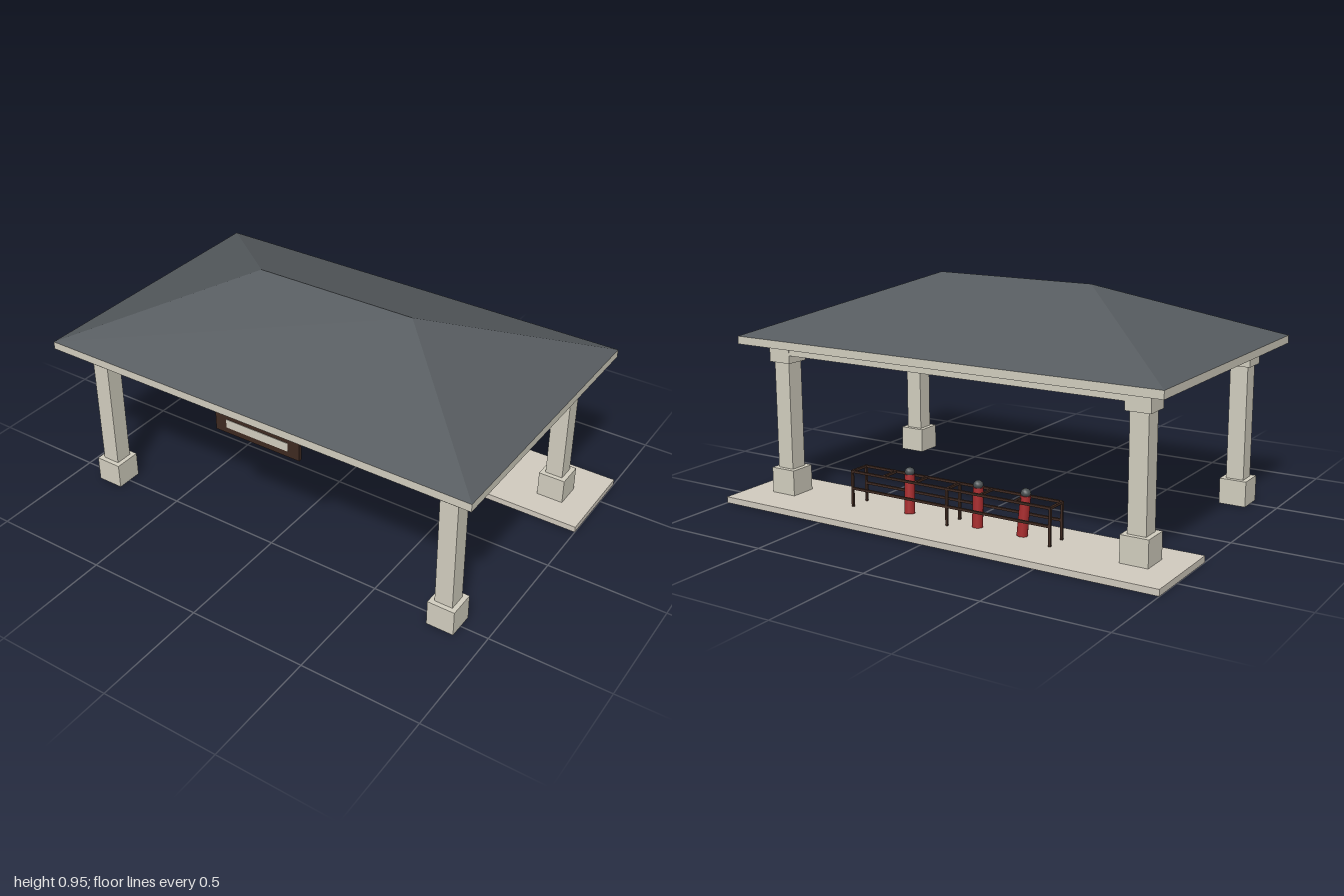
import * as THREE from 'three';

const mat = (name, color, side = THREE.FrontSide) => {
  const m = new THREE.MeshStandardMaterial({ color, side });
  m.name = name;
  return m;
};

export function createModel() {
  const model = new THREE.Group();
  model.name = 'pavilion';
  const stone = mat('stone', 0xd3cfc0);
  const hollowStone = mat('hollow stone', 0xd3cfc0, THREE.DoubleSide);
  const concrete = mat('concrete', 0xd2cbbf, THREE.DoubleSide);
  const slate = mat('slate', 0x565b5f);
  const brown = mat('dark brown', 0x3f2a21);
  const red = mat('red', 0xa82c2e);
  const grey = mat('dark grey', 0x484e50);

  const add = (parent, name, geometry, material, x = 0, y = 0, z = 0) => {
    const mesh = new THREE.Mesh(geometry, material);
    mesh.name = name;
    mesh.position.set(x, y, z);
    parent.add(mesh);
    return mesh;
  };
  // Box given by its lower and upper corners
  const block = (parent, name, material, [x0, y0, z0], [x1, y1, z1]) =>
    add(parent, name, new THREE.BoxGeometry(x1 - x0, y1 - y0, z1 - z0), material,
      (x0 + x1) / 2, (y0 + y1) / 2, (z0 + z1) / 2);
  // The same box without its underside
  const openBlock = (parent, name, material, low, high) => {
    const { geometry } = block(parent, name, material, low, high);
    const index = Array.from(geometry.index.array);
    index.splice(18, 6);
    geometry.setIndex(index);
    geometry.clearGroups();
  };

  // Platform under the rear columns
  const deck = 0.026;
  openBlock(model, 'platform', concrete, [-1, 0, -0.643], [1, deck, -0.25]);

  // Four columns with hollow bases and square capitals
  const colX = 0.824, frontZ = 0.5, backZ = -0.428;
  for (const sx of [-1, 1]) for (const [z, floor] of [[frontZ, 0], [backZ, deck]]) {
    const column = new THREE.Group();
    column.name = 'column';
    column.position.set(sx * colX, 0, z);
    openBlock(column, 'columnBase', hollowStone, [-0.058, floor, -0.058], [0.058, floor + 0.109, 0.058]);
    block(column, 'columnShaft', stone, [-0.038, floor + 0.109, -0.038], [0.038, 0.6, 0.038]);
    block(column, 'columnCapital', stone, [-0.052, 0.593, -0.052], [0.052, 0.676, 0.052]);
    model.add(column);
  }

  // Closed ceiling block inside the hollow eaves
  const rx = 0.965, z0 = -0.571, z1 = 0.643, eave = 0.706, top = 0.948, rz = 0.036, ridge = 0.358;
  block(model, 'ceiling', stone, [-0.875, 0.627, -0.479], [0.875, eave - 0.002, 0.551]);
  openBlock(model, 'eaves', hollowStone, [-rx, 0.673, z0], [rx, eave, z1]);

  // Hipped roof
  const FL = [-rx, eave, z1], FR = [rx, eave, z1], BL = [-rx, eave, z0], BR = [rx, eave, z0];
  const RL = [-ridge, top, rz], RR = [ridge, top, rz];
  const roofGeo = new THREE.BufferGeometry();
  roofGeo.setAttribute('position', new THREE.Float32BufferAttribute([
    FL, FR, RR, FL, RR, RL,
    BR, BL, RL, BR, RL, RR,
    FR, BR, RR,
    BL, FL, RL,
  ].flat(), 3));
  roofGeo.computeVertexNormals();
  add(model, 'hippedRoof', roofGeo, slate);

  // Hanging sign on the front beam
  block(model, 'signBoard', brown, [-0.197, 0.53, 0.552], [0.197, 0.628, 0.567]);
  block(model, 'signPanel', stone, [-0.145, 0.555, 0.566], [0.145, 0.592, 0.569]);

  // Double railing joined by rungs
  const railing = new THREE.Group();
  railing.name = 'railing';
  const railX = 0.466, railZ = [-0.466, -0.375], t = 0.0048;
  for (const z of railZ) {
    for (const y of [0.104, 0.176])
      block(railing, 'rail', brown, [-railX, y - t, z - t], [railX, y + t, z + t]);
    for (const x of [-railX, 0, railX])
      block(railing, 'railPost', brown, [x - t, deck, z - t], [x + t, 0.18, z + t]);
  }
  for (let i = -3; i <= 3; i++) {
    const x = i * railX / 3;
    block(railing, 'rung', brown, [x - t, 0.176 - t, railZ[0]], [x + t, 0.176 + t, railZ[1]]);
  }
  model.add(railing);

  // Red canisters with dark heads, each leaning a little
  const cans = [
    [-0.314, -0.415, 0.06, 0.06],
    [-0.112, -0.418, 0.0, 0.04],
    [0.215, -0.418, -0.04, 0.08],
  ];
  for (const [x, z, leanZ, leanX] of cans) {
    const can = new THREE.Group();
    can.name = 'canister';
    can.position.set(x, deck + 0.001, z);
    can.rotation.set(leanX, 0, leanZ);
    add(can, 'canisterBody', new THREE.CylinderGeometry(0.021, 0.022, 0.16, 14), red, 0, 0.08, 0);
    add(can, 'canisterHead', new THREE.SphereGeometry(0.021, 10, 6), grey, 0, 0.17, 0).scale.y = 0.9;
    model.add(can);
  }

  return model;
}
